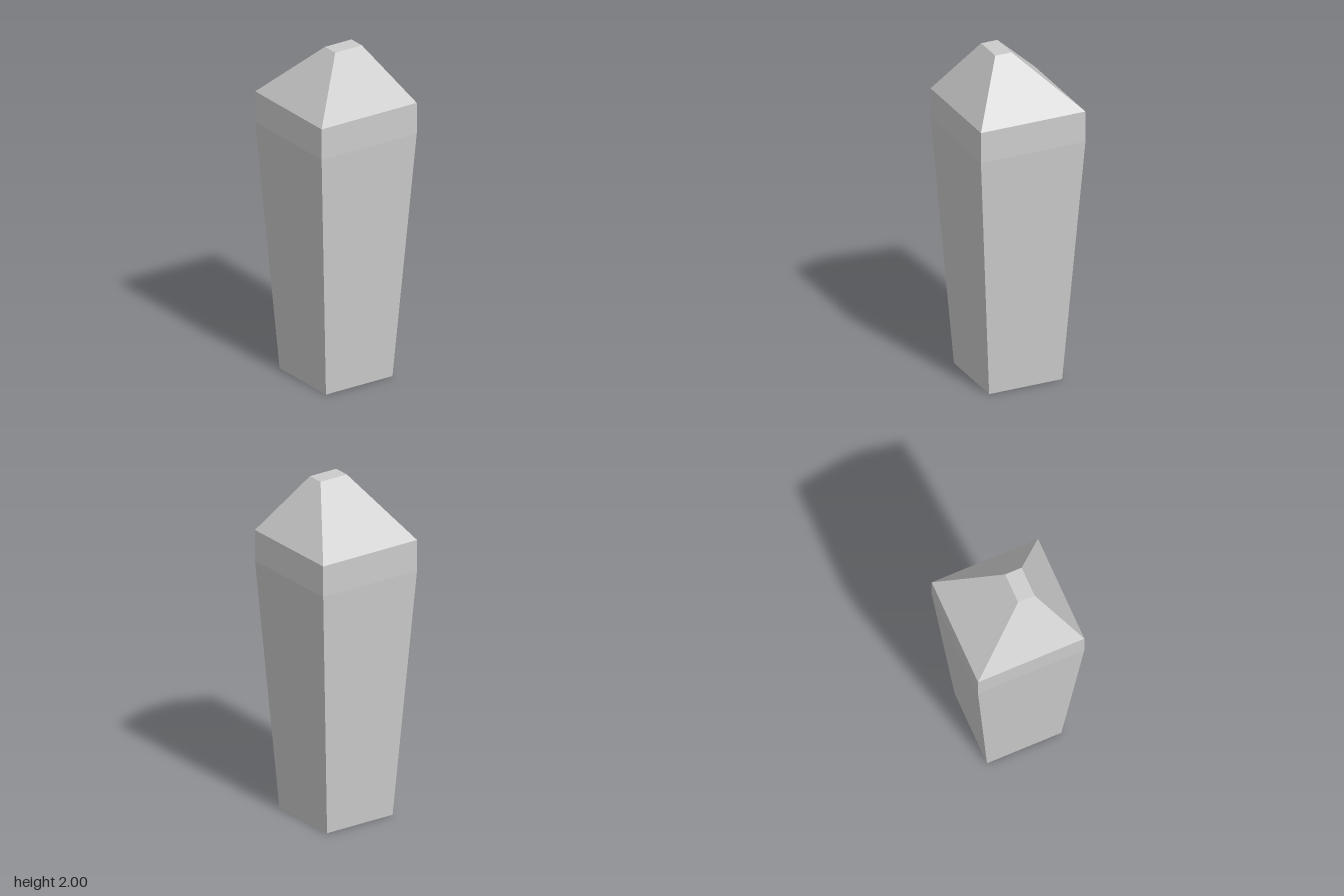
import * as THREE from 'three';

// Rectangular cross-sections from bottom to top: height, half width, back z, front z
const BASE = { y: 0, w: 0.225, back: -0.225, front: 0.225 };
const SHOULDER = { y: 1.48, w: 0.322, back: -0.322, front: 0.322 };
const RIM = { y: 1.665, w: 0.322, back: -0.322, front: 0.322 };
const TIP = { y: 2, w: 0.09, back: 0.022, front: 0.122 };

// Corners run counter-clockwise seen from above
const corners = ({ y, w, back, front }) => [
  [-w, y, front], [w, y, front], [w, y, back], [-w, y, back],
];

// Skin a stack of sections with flat quads, optionally capping either end
function loft(sections, capBottom, capTop) {
  const rings = sections.map(corners);
  const positions = [];
  const quad = (a, b, c, d) => positions.push(...a, ...b, ...c, ...a, ...c, ...d);

  for (let i = 0; i < rings.length - 1; i++) {
    const low = rings[i], high = rings[i + 1];
    for (let k = 0; k < 4; k++) {
      const n = (k + 1) % 4;
      quad(low[k], low[n], high[n], high[k]);
    }
  }
  if (capBottom) quad(...[...rings[0]].reverse());
  if (capTop) quad(...rings[rings.length - 1]);

  const geometry = new THREE.BufferGeometry();
  geometry.setAttribute('position', new THREE.Float32BufferAttribute(positions, 3));
  geometry.computeVertexNormals();
  return geometry;
}

export function createModel() {
  const group = new THREE.Group();
  group.name = 'taperedPost';
  const material = new THREE.MeshStandardMaterial({ color: 0xcccccc, flatShading: true });

  const add = (name, sections, capBottom, capTop) => {
    const mesh = new THREE.Mesh(loft(sections, capBottom, capTop), material);
    mesh.name = name;
    group.add(mesh);
  };

  // Shaft widening upward into a short straight collar
  add('shaft', [BASE, SHOULDER, RIM], true, false);
  // Off-centre truncated pyramid on top
  add('cap', [RIM, TIP], false, true);

  return group;
}
